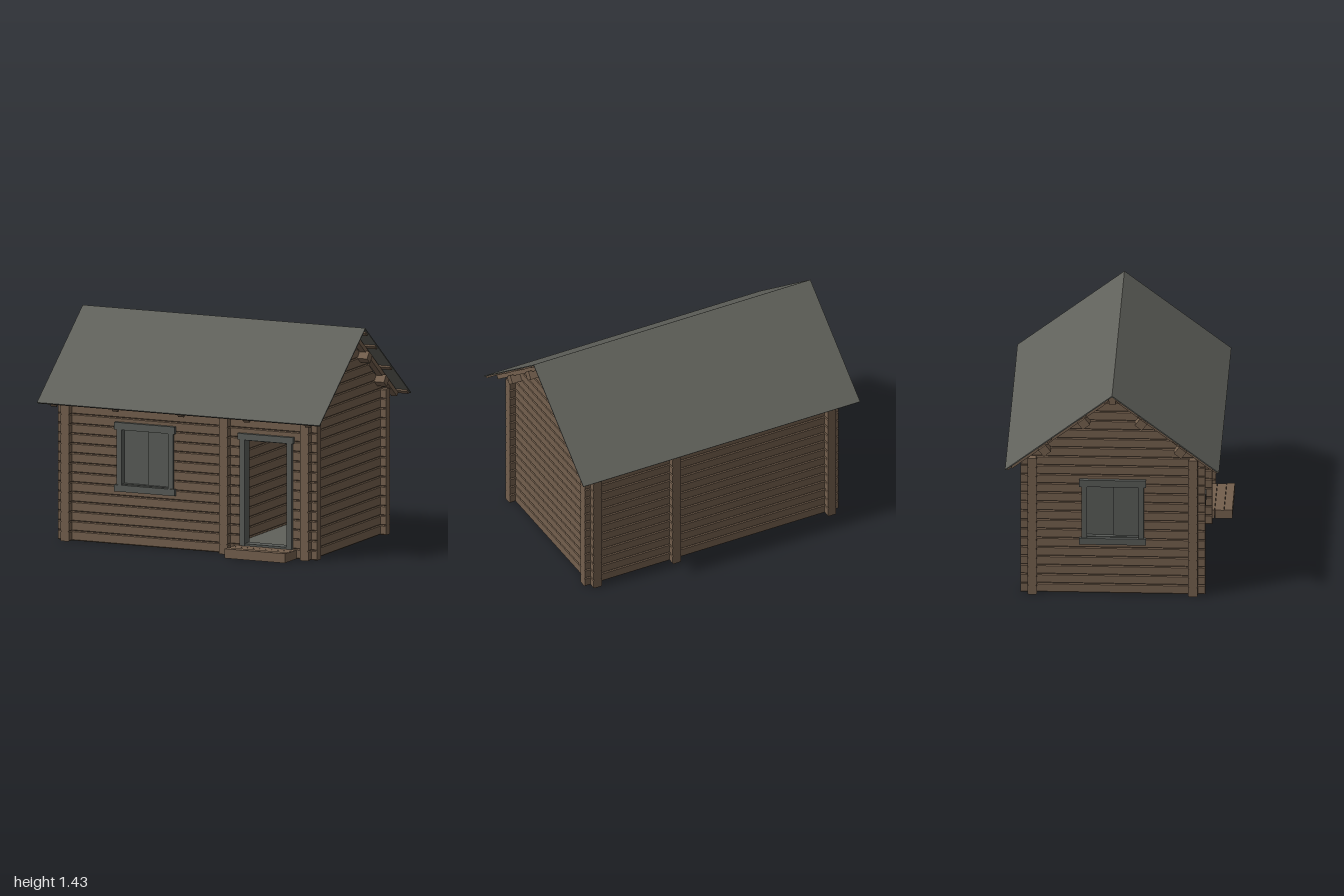
import * as THREE from 'three';

const mat = (name, color) => {
  const m = new THREE.MeshStandardMaterial({ color });
  m.name = name;
  return m;
};

export function createModel() {
  const timber = mat('brown timber', 0x735f4d);
  const roofing = mat('grey roofing', 0x60615b);
  const trim = mat('grey trim', 0x585b57);

  const cabin = new THREE.Group();
  cabin.name = 'logCabin';

  const Z0 = -0.015;               // ridge line position in z
  const RIDGE = 1.43, LOG = 0.0633, ROWS = 15, THICK = 0.06;
  const SLOPE = 0.766, ANGLE = Math.atan(SLOPE);
  const roofRoom = y => Math.max(0, (RIDGE - 0.06 - y) / SLOPE); // half depth under the rafters

  // Axis-aligned box from its limits
  function box(parent, name, material, x0, x1, y0, y1, z0, z1) {
    const mesh = new THREE.Mesh(new THREE.BoxGeometry(x1 - x0, y1 - y0, z1 - z0), material);
    mesh.position.set((x0 + x1) / 2, (y0 + y1) / 2, (z0 + z1) / 2);
    mesh.name = name;
    parent.add(mesh);
    return mesh;
  }

  // Squared log with chamfered long edges, running along z from a to b
  function logGeometry(a, b) {
    const w = THICK / 2, c = 0.006;
    const s = new THREE.Shape([
      [-w + c, 0], [w - c, 0], [w, c], [w, LOG - c],
      [w - c, LOG], [-w + c, LOG], [-w, LOG - c], [-w, c],
    ].map(p => new THREE.Vector2(...p)));
    return new THREE.ExtrudeGeometry(s, { depth: b - a, bevelEnabled: false }).translate(0, 0, a);
  }

  // Log wall running along x, or along z under the roof slope; openings are { a, b, from, to }
  function logWall(name, alongX, at, a, b, rows, openings = []) {
    const wall = new THREE.Group();
    wall.name = name;
    for (let k = 0; k < rows; k++) {
      let spans = [[a, b]];
      for (const o of openings) {
        if (k < o.from || k >= o.to) continue;
        spans = spans.flatMap(([p, q]) => (o.a > p && o.b < q ? [[p, o.a], [o.b, q]] : [[p, q]]));
      }
      for (const [p, q] of spans) {
        const geo = logGeometry(p, q);
        if (alongX) {
          geo.rotateY(Math.PI / 2);
        } else {
          // trim the ends to the roof slope
          const pos = geo.attributes.position;
          for (let i = 0; i < pos.count; i++) {
            const room = roofRoom(pos.getY(i) + k * LOG);
            pos.setZ(i, THREE.MathUtils.clamp(pos.getZ(i), Z0 - room, Z0 + room));
          }
          geo.computeVertexNormals();
        }
        const log = new THREE.Mesh(geo, timber);
        log.name = 'log';
        log.position.set(alongX ? 0 : at, k * LOG, alongX ? at : 0);
        wall.add(log);
      }
    }
    cabin.add(wall);
  }

  // Walls
  const frontZ = 0.5, backZ = -0.53, sideX = 0.847, gableRows = 21;
  logWall('frontWall', true, frontZ, -0.917, 0.917, ROWS, [
    { a: -0.475, b: -0.113, from: 6, to: 12 },
    { a: 0.395, b: 0.727, from: 1, to: 12 },
  ]);
  logWall('backWall', true, backZ, -0.917, 0.917, ROWS);
  logWall('leftWall', false, sideX, -0.605, 0.577, gableRows);
  logWall('rightWall', false, -sideX, -0.605, 0.577, gableRows, [
    { a: Z0 - 0.181, b: Z0 + 0.181, from: 6, to: 12 },
  ]);
  logWall('partitionWall', false, 0.275, -0.605, 0.577, gableRows);

  // Window, built facing +z with the wall's outer face at z = 0
  function makeWindow(name) {
    const g = new THREE.Group();
    g.name = name;
    box(g, 'headBoard', trim, -0.214, 0.214, 0.749, 0.796, 0, 0.025);
    box(g, 'sillBoard', trim, -0.214, 0.214, 0.347, 0.39, 0, 0.025);
    for (const s of [-1, 1]) {
      const x = s * 0.182;
      box(g, 'sideBoard', trim, x - 0.017, x + 0.017, 0.39, 0.749, 0, 0.018);
      box(g, 'jamb', trim, x - 0.014, x + 0.014, 0.385, 0.755, -0.064, -0.001);
    }
    box(g, 'headLining', trim, -0.18, 0.18, 0.745, 0.759, -0.064, -0.001);
    box(g, 'sillLining', trim, -0.18, 0.18, 0.381, 0.395, -0.064, -0.001);
    box(g, 'leftPane', trim, -0.17, 0.004, 0.39, 0.75, -0.04, -0.032);
    box(g, 'rightPane', trim, 0.002, 0.17, 0.39, 0.75, -0.03, -0.022);
    cabin.add(g);
    return g;
  }
  makeWindow('frontWindow').position.set(-0.294, 0, frontZ + THICK / 2);
  const sideWindow = makeWindow('sideWindow');
  sideWindow.position.set(-sideX - THICK / 2, 0, Z0);
  sideWindow.rotation.y = -Math.PI / 2;

  // Open doorway
  const door = new THREE.Group();
  door.name = 'doorway';
  door.position.set(0.561, 0, frontZ + THICK / 2);
  box(door, 'headBoard', trim, -0.197, 0.197, 0.749, 0.79, 0, 0.025);
  box(door, 'threshold', trim, -0.168, 0.168, 0.06, 0.073, -0.064, 0.012);
  box(door, 'headLining', trim, -0.168, 0.168, 0.742, 0.759, -0.064, -0.001);
  for (const s of [-1, 1]) {
    const x = s * 0.167;
    box(door, 'sideBoard', trim, x - 0.018, x + 0.018, 0.06, 0.749, 0, 0.018);
    box(door, 'jamb', trim, x - 0.015, x + 0.015, 0.064, 0.755, -0.064, -0.001);
  }
  cabin.add(door);

  // Doorstep planks
  box(cabin, 'stepFront', timber, 0.342, 0.77, 0, 0.061, 0.65, 0.702);
  box(cabin, 'stepMiddle', timber, 0.342, 0.77, 0, 0.058, 0.59, 0.648);
  box(cabin, 'stepBack', timber, 0.342, 0.77, 0, 0.058, 0.531, 0.588);

  // Floor
  box(cabin, 'floor', roofing, -0.82, 0.82, 0.045, 0.055, -0.505, 0.475);

  // Roof: each slope is laid out flat from the ridge, then tilted
  const LENGTH = 0.685 / Math.cos(ANGLE);
  for (const turn of [0, Math.PI]) {
    const side = new THREE.Group();
    side.name = turn ? 'backRoof' : 'frontRoof';
    side.position.set(0, RIDGE, Z0);
    side.rotation.y = turn;
    const slope = new THREE.Group();
    slope.name = 'slope';
    slope.rotation.x = ANGLE;
    side.add(slope);
    cabin.add(side);

    box(slope, 'roofSheet', roofing, -1, 1, -0.007, 0, 0, LENGTH);
    for (const s of [0.04, 0.22, 0.5, 0.82]) {
      box(slope, 'batten', timber, -0.99, 0.99, -0.018, -0.007, s, s + 0.035);
    }
    for (const x of [-0.9, -0.465, 0, 0.465, 0.9]) {
      box(slope, 'rafter', timber, x - 0.021, x + 0.021, -0.047, -0.018, 0, 0.845);
    }
    for (const s of [0.281, 0.597]) {
      box(slope, 'purlin', timber, -0.945, 0.945, -0.094, -0.038, s - 0.029, s + 0.029);
    }
  }
  box(cabin, 'ridgeBeam', timber, -0.945, 0.945, 1.345, 1.405, Z0 - 0.021, Z0 + 0.021);

  return cabin;
}
